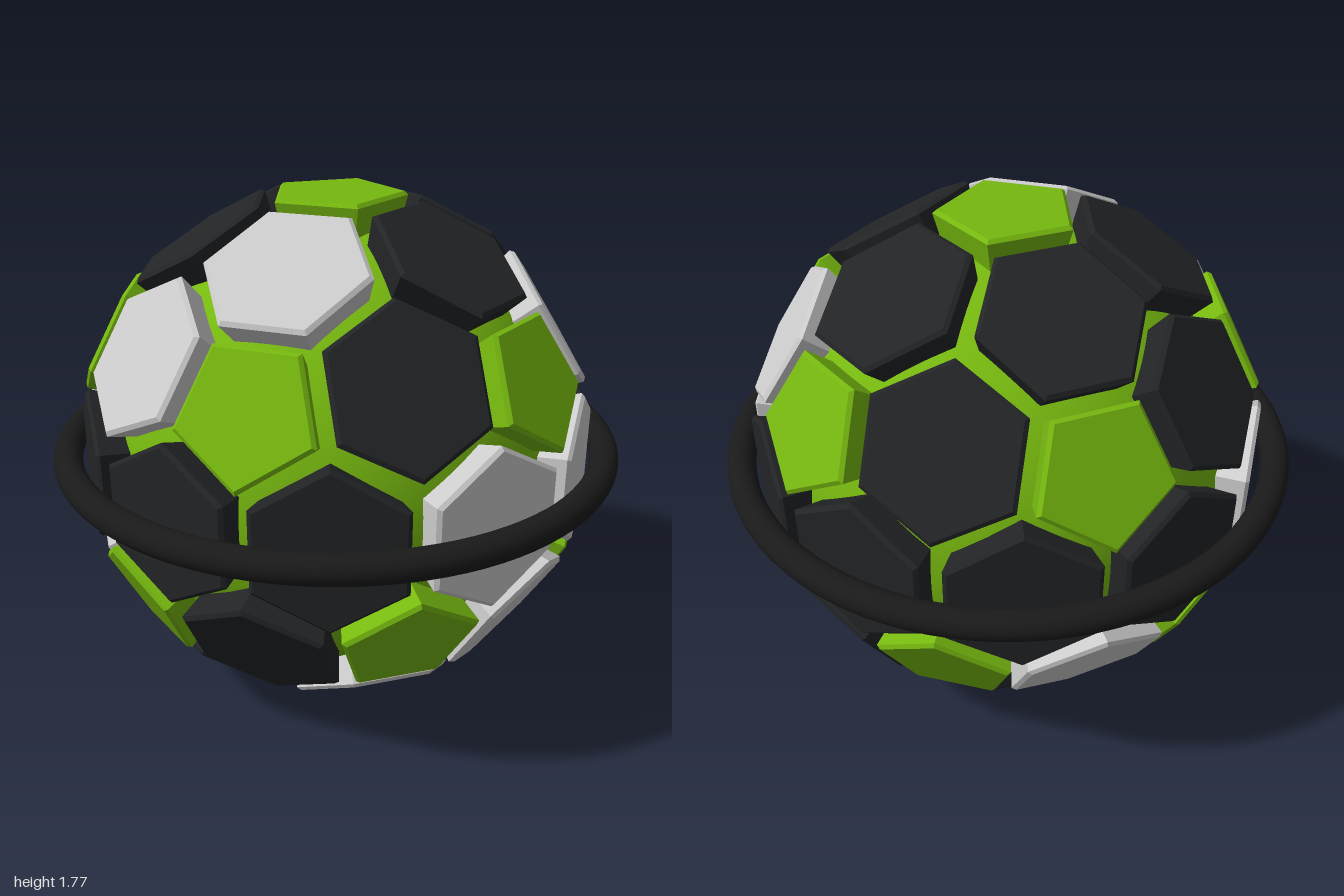
import * as THREE from 'three';

const CENTRE_Y = 0.887;
const rad = THREE.MathUtils.degToRad;

const green = new THREE.MeshStandardMaterial({ color: 0x76b80f });
const greenFlat = new THREE.MeshStandardMaterial({ color: 0x76b80f, flatShading: true });
const darkFlat = new THREE.MeshStandardMaterial({ color: 0x222426, flatShading: true });
const silverFlat = new THREE.MeshStandardMaterial({ color: 0xcccccc, flatShading: true });
const black = new THREE.MeshStandardMaterial({ color: 0x1a1a1a });

// Raised panel: walls run towards the ball centre, with a small bevel round the face
function panelGeometry(sides, radius, top) {
  const shoulder = top - 0.012;
  const base = 0.72;
  return new THREE.LatheGeometry([
    new THREE.Vector2(radius * base / shoulder, base),
    new THREE.Vector2(radius, shoulder),
    new THREE.Vector2(radius - 0.014, top),
    new THREE.Vector2(0, top),
  ], sides);
}

// Rows of panels: polar angle, first azimuth from +x towards +z, count, spin, silver azimuths
const pentagonRows = [
  { polar: 0, start: 180, count: 1, spin: 0 },
  { polar: 63.43, start: 0, count: 5, spin: 0 },
  { polar: 116.57, start: 36, count: 5, spin: 180 },
  { polar: 180, start: 180, count: 1, spin: 0 },
];
const hexagonRows = [
  { polar: 31.72, start: 0, count: 5, spin: 30, silver: [72] },
  { polar: 58.28, start: 36, count: 5, spin: 0, silver: [108, 324] },
  { polar: 90, start: 18, count: 10, spin: 0, silver: [18, 162, 342] },
  { polar: 121.72, start: 0, count: 5, spin: 0, silver: [0, 144, 216] },
  { polar: 148.28, start: 36, count: 5, spin: 30, silver: [36] },
];

function addPanels(parent, name, geometry, rows, pickMaterial) {
  for (const row of rows) {
    for (let i = 0; i < row.count; i++) {
      const azimuth = row.start + i * 360 / row.count;
      const placed = geometry.clone()
        .rotateY(rad(row.spin))
        .rotateX(rad(row.polar))
        .rotateY(rad(90 - azimuth));
      const panel = new THREE.Mesh(placed, pickMaterial(row, azimuth));
      panel.name = name;
      parent.add(panel);
    }
  }
}

export function createModel() {
  const model = new THREE.Group();
  model.name = 'ringedPanelBall';

  const ball = new THREE.Group();
  ball.name = 'ball';
  ball.position.y = CENTRE_Y;
  model.add(ball);

  // Smooth core seen in the gaps between panels
  const core = new THREE.Mesh(new THREE.SphereGeometry(0.8, 64, 40), green);
  core.name = 'core';
  ball.add(core);

  // 12 pentagons and 30 hexagons
  addPanels(ball, 'pentagonPanel', panelGeometry(5, 0.24, CENTRE_Y), pentagonRows, () => greenFlat);
  addPanels(ball, 'hexagonPanel', panelGeometry(6, 0.278, 0.872), hexagonRows,
    (row, azimuth) => (row.silver.includes(azimuth) ? silverFlat : darkFlat));

  // Ring round the equator
  const ring = new THREE.Mesh(new THREE.TorusGeometry(0.95, 0.05, 20, 96).rotateX(Math.PI / 2), black);
  ring.name = 'equatorRing';
  ball.add(ring);

  return model;
}
